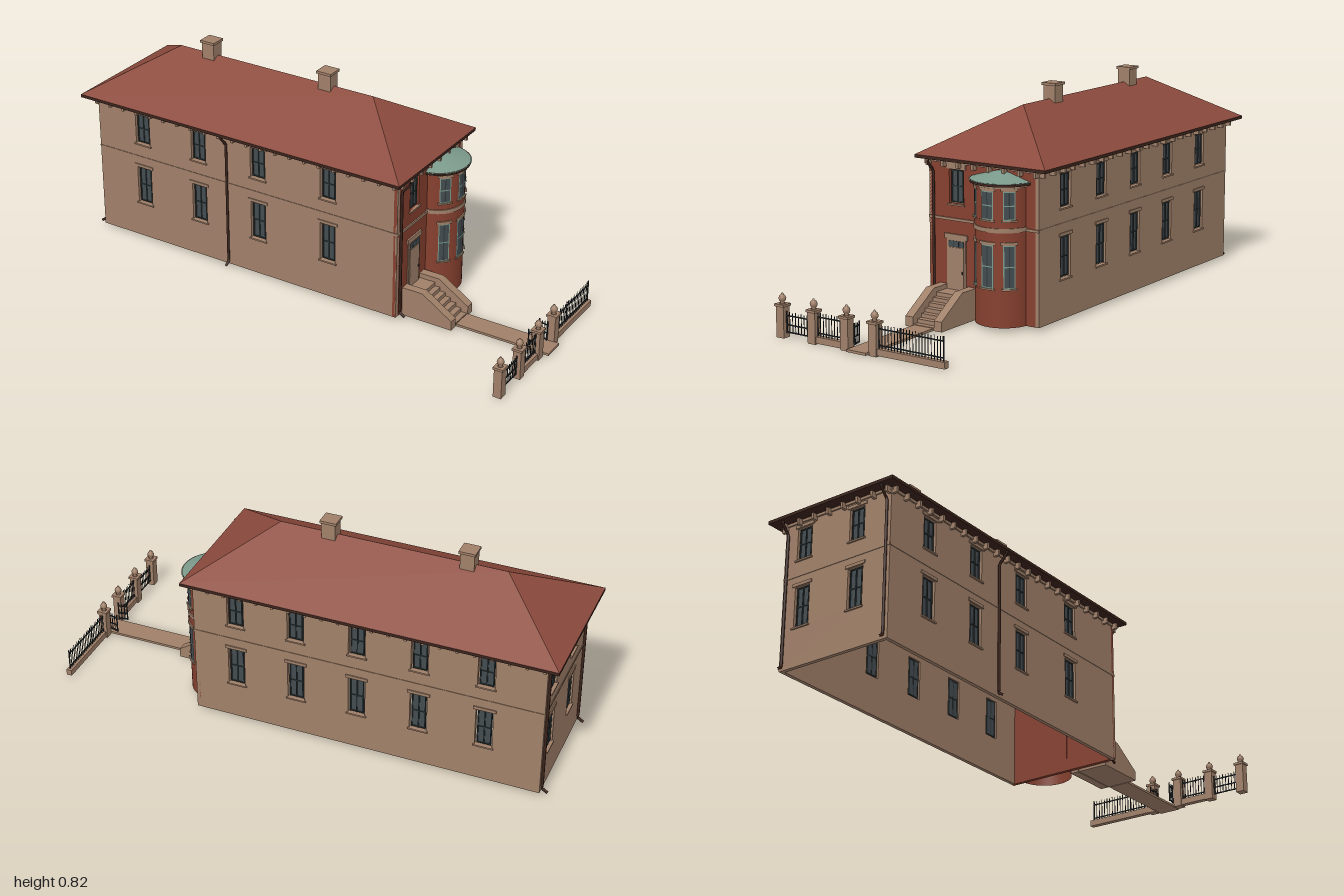
import * as THREE from 'three';

const mat = (name, color, side = THREE.FrontSide) => {
  const m = new THREE.MeshStandardMaterial({ color, side });
  m.name = name;
  return m;
};

export function createModel() {
  const model = new THREE.Group();
  model.name = 'townhouse';
  const brick = mat('brick', 0x86402f, THREE.DoubleSide);
  const roofRed = mat('roof tile', 0x8c4a3d);
  const stone = mat('sandstone', 0xa08069, THREE.DoubleSide);
  const trim = mat('dark gutter', 0x3c241c);
  const glass = mat('glass', 0x434c50, THREE.DoubleSide);
  const sash = mat('sash', 0x2f3839, THREE.DoubleSide);
  const copper = mat('weathered copper', 0x7b9a8b, THREE.DoubleSide);
  const iron = mat('iron', 0x23292c);

  const add = (parent, name, geo, m) => {
    const mesh = new THREE.Mesh(geo, m);
    mesh.name = name;
    parent.add(mesh);
    return mesh;
  };
  // box given by its two corners
  const box = (parent, name, m, x0, x1, y0, y1, z0, z1) => {
    const mesh = add(parent, name, new THREE.BoxGeometry(x1 - x0, y1 - y0, z1 - z0), m);
    mesh.position.set((x0 + x1) / 2, (y0 + y1) / 2, (z0 + z1) / 2);
    return mesh;
  };
  const X0 = -0.95, X1 = 0.41, Z0 = -0.34, Z1 = 0.14, BASE = 0.015, TOP = 0.58;

  // sash window set back in its opening, with lintel and sill
  const addWindow = (wall, u, y0, y1, w, lintelH) => {
    const g = new THREE.Group();
    g.name = 'window';
    g.position.x = u;
    wall.add(g);
    const h = w / 2 - 0.006, b = y0 + 0.005, t = y1 - 0.003, mid = (b + t) / 2;
    box(g, 'pane', glass, -h, h, b, t, -0.012, -0.009);
    for (const x of [-h, -0.002, h - 0.004]) box(g, 'sashUpright', sash, x, x + 0.004, b, t, -0.013, -0.005);
    for (const y of [b, mid - 0.002, t - 0.004]) box(g, 'sashRail', sash, -h, h, y, y + 0.004, -0.013, -0.006);
    box(g, 'sill', stone, -w / 2 - 0.006, w / 2 + 0.006, y0 - 0.006, y0, -0.005, 0.006);
    box(g, 'lintel', stone, -w / 2 - 0.01, w / 2 + 0.01, y1 + 0.002, y1 + 0.002 + lintelH, -0.005, 0.004);
  };

  // wall with cut openings: local x along the wall, z outwards
  const addWall = (name, m, half, pos, turn, wins) => {
    const g = new THREE.Group();
    g.name = name;
    g.position.set(...pos);
    g.rotation.y = turn;
    model.add(g);
    const rect = (P, a, b, c, d) => {
      const p = new P();
      p.moveTo(a, c); p.lineTo(b, c); p.lineTo(b, d); p.lineTo(a, d); p.closePath();
      return p;
    };
    const shape = rect(THREE.Shape, -half, half, BASE, TOP);
    for (const [u, y0, y1, w] of wins) shape.holes.push(rect(THREE.Path, u - w / 2, u + w / 2, y0, y1));
    const geo = new THREE.ExtrudeGeometry(shape, { depth: 0.015, bevelEnabled: false });
    geo.translate(0, 0, -0.015);
    add(g, name + 'Surface', geo, m);
    for (const [u, y0, y1, w, lh = 0.012] of wins) addWindow(g, u, y0, y1, w, lh);
    box(g, 'beltCourse', stone, -half, half, 0.36, 0.37, -0.005, m === brick ? 0.005 : 0.002);
    box(g, 'frieze', stone, -half, half, 0.57, TOP, -0.005, 0.006);
    const n = Math.round(half * 2 / 0.065);
    for (let i = 0; i <= n; i++) {
      const u = -half + 0.006 + i * (half * 2 - 0.012) / n;
      box(g, 'eaveBracket', stone, u - 0.005, u + 0.005, 0.557, TOP, 0, 0.022);
    }
    return g;
  };
  const rows = us => us.flatMap(u => [[u, 0.425, 0.55, 0.066], [u, 0.165, 0.32, 0.066]]);
  const cx = (X0 + X1) / 2, cz = (Z0 + Z1) / 2, hx = (X1 - X0) / 2, hz = (Z1 - Z0) / 2;
  addWall('frontWall', stone, hx, [cx, 0, Z1], 0, rows([-0.738, -0.473, -0.2, 0.112].map(x => x - cx)));
  addWall('backWall', stone, hx, [cx, 0, Z0], Math.PI, rows([0.24, 0, -0.24, -0.48, -0.73].map(x => cx - x)));
  addWall('leftEndWall', stone, hz, [X0, 0, cz], -Math.PI / 2, rows([-0.25, -0.01].map(z => z - cz)));
  const entry = addWall('entranceWall', brick, hz, [X1, 0, cz], Math.PI / 2, [[cz - 0.018, 0.422, 0.548, 0.064, 0.02]]);

  // entrance door
  const door = new THREE.Group();
  door.name = 'door';
  door.position.x = cz - 0.018;
  entry.add(door);
  box(door, 'doorFrame', stone, -0.042, 0.042, 0.105, 0.293, -0.005, 0.004);
  box(door, 'doorLeaf', stone, -0.034, 0.034, 0.105, 0.262, 0, 0.007);
  box(door, 'transomPane', glass, -0.034, 0.034, 0.264, 0.286, 0, 0.006);
  for (const x of [-0.012, 0.011]) box(door, 'transomBar', sash, x, x + 0.002, 0.264, 0.286, 0, 0.007);
  box(door, 'doorHandle', iron, 0.027, 0.031, 0.165, 0.175, 0.006, 0.011);
  box(door, 'doorLintel', stone, -0.05, 0.05, 0.292, 0.311, -0.004, 0.007);

  // hipped roof, gutter and chimneys
  const E = { a: -1, b: 0.44, c: -0.384, d: 0.184, y: 0.592 };
  const A = [E.a, E.y, E.d], B = [E.b, E.y, E.d], C = [E.b, E.y, E.c], D = [E.a, E.y, E.c];
  const L = [-0.715, 0.763, -0.1], R = [0.157, 0.763, -0.1];
  const tris = [A, B, R, A, R, L, B, C, R, C, D, L, C, L, R, D, A, L];
  const roofGeo = new THREE.BufferGeometry();
  roofGeo.setAttribute('position', new THREE.Float32BufferAttribute(tris.flat(), 3));
  roofGeo.computeVertexNormals();
  add(model, 'hippedRoof', roofGeo, roofRed);
  box(model, 'eaves', trim, E.a, E.b, 0.58, E.y, E.c, E.d);
  for (const x of [-0.57, -0.04]) {
    box(model, 'chimney', stone, x - 0.027, x + 0.027, 0.7, 0.814, -0.126, -0.074);
    box(model, 'chimneyCap', stone, x - 0.032, x + 0.032, 0.812, 0.822, -0.131, -0.069);
  }

  // downpipes: from gutter back to the wall, down, with a kicked foot
  const downpipe = (x, z, dx, dz) => {
    const p = (o, y) => new THREE.Vector3(x + dx * o, y, z + dz * o);
    const path = new THREE.CurvePath();
    const pts = [p(0.038, 0.582), p(0.036, 0.57), p(0.005, 0.535), p(0.005, 0.028), p(0.026, 0.014)];
    for (let i = 0; i < 4; i++) path.add(new THREE.LineCurve3(pts[i], pts[i + 1]));
    add(model, 'downpipe', new THREE.TubeGeometry(path, 48, 0.0055, 6), trim);
  };
  downpipe(-0.34, Z1, 0, 1);
  downpipe(X1, 0.118, 1, 0);
  downpipe(X0, 0.125, -1, 0);
  downpipe(X0, -0.325, -1, 0);

  // rounded bay
  const bay = new THREE.Group();
  bay.name = 'bay';
  bay.position.set(0.393, 0, -0.18);
  model.add(bay);
  const RB = 0.106;
  const arc = (name, m, r, y0, y1, mid = Math.PI / 2, half = Math.PI / 2) => {
    const seg = Math.max(2, Math.ceil(half * 14));
    add(bay, name, new THREE.CylinderGeometry(r, r, y1 - y0, seg, 1, true, mid - half, half * 2), m).position.y = (y0 + y1) / 2;
  };
  // raised curved band with closed top and bottom
  const band = (name, m, r, y0, y1, mid = Math.PI / 2, half = Math.PI / 2) => {
    const pts = [[RB - 0.003, y0], [r, y0], [r, y1], [RB - 0.003, y1]].map(q => new THREE.Vector2(...q));
    const geo = new THREE.LatheGeometry(pts, Math.max(3, Math.ceil(half * 14)), mid - half, half * 2).toNonIndexed();
    geo.computeVertexNormals();
    add(bay, name, geo, m);
  };
  arc('bayWall', brick, RB, BASE, 0.535);
  band('bayBelt', stone, RB + 0.004, 0.36, 0.376);
  band('bayCornice', stone, RB + 0.004, 0.519, 0.53);
  band('bayEave', trim, 0.124, 0.527, 0.538);
  add(bay, 'bayRoof', new THREE.ConeGeometry(0.127, 0.037, 32, 1, true, 0, Math.PI), copper).position.y = 0.555;
  for (const k of [-1, 0, 1]) {
    const mid = Math.PI / 2 + k * 0.77, half = k ? 0.2 : 0.23;
    for (const [y0, y1] of [[0.405, 0.508], [0.158, 0.315]]) {
      arc('bayPane', glass, RB + 0.001, y0, y1, mid, half);
      const cy = (y0 + y1) / 2;
      for (const a of [-half, half]) arc('baySashUpright', copper, RB + 0.003, y0, y1, mid + a * 0.93, 0.017);
      arc('bayMullion', sash, RB + 0.002, y0, y1, mid, 0.02);
      for (const y of [y0, cy - 0.002, y1 - 0.004]) arc('baySashRail', copper, RB + 0.0025, y, y + 0.004, mid, half);
      band('baySill', stone, RB + 0.007, y0 - 0.006, y0, mid, half + 0.06);
      band('bayLintel', stone, RB + 0.005, y1, y1 + 0.011, mid, half + 0.08);
    }
  }

  // entrance steps between sloping cheek walls
  box(model, 'landing', stone, X1, 0.48, 0.005, 0.105, -0.03, 0.062);
  for (let i = 0; i < 6; i++)
    box(model, 'step', stone, 0.47, 0.502 + i * 0.023, 0.005, 0.09 - i * 0.015, -0.03, 0.062);
  const cheek = new THREE.Shape([[X1, 0.005], [0.62, 0.005], [0.62, 0.042], [0.495, 0.122], [X1, 0.122]]
    .map(q => new THREE.Vector2(...q)));
  for (const z of [-0.067, 0.06])
    add(model, 'stepCheek', new THREE.ExtrudeGeometry(cheek, { depth: 0.034, bevelEnabled: false }), stone).position.z = z;
  box(model, 'path', stone, 0.62, 1, 0.005, 0.014, -0.03, 0.056);

  // street boundary: plinth, pillars with finials, railings and gates
  const FX = 0.965;
  box(model, 'fencePlinth', stone, FX - 0.011, FX + 0.011, 0.004, 0.028, -0.345, -0.05);
  box(model, 'fencePlinth', stone, FX - 0.011, FX + 0.011, 0.004, 0.028, 0.085, 0.22);
  const urn = [[0, 0], [0.011, 0], [0.006, 0.006], [0.012, 0.013], [0.014, 0.021], [0.01, 0.03], [0.004, 0.034], [0.004, 0.038], [0, 0.04]]
    .map(q => new THREE.Vector2(...q));
  for (const z of [0.369, 0.226, 0.08, -0.043]) {
    box(model, 'pillar', stone, FX - 0.016, FX + 0.016, 0, 0.115, z - 0.017, z + 0.017);
    box(model, 'pillarCap', stone, FX - 0.02, FX + 0.02, 0.113, 0.122, z - 0.021, z + 0.021);
    add(model, 'finial', new THREE.LatheGeometry(urn, 12), stone).position.set(FX, 0.121, z);
  }
  // railing panel running along local x from 0 to len
  const railing = (name, x, z, turn, len, y0, railY, y1) => {
    const g = new THREE.Group();
    g.name = name;
    g.position.set(x, 0, z);
    g.rotation.y = turn;
    model.add(g);
    for (const y of railY) box(g, 'rail', iron, 0, len, y, y + 0.004, -0.002, 0.002);
    const n = Math.max(2, Math.round(len / 0.0125));
    for (let i = 0; i <= n; i++) {
      const u = i * len / n, end = i === 0 || i === n, w = end ? 0.002 : 0.0011;
      box(g, 'bar', iron, u - w, u + w, y0, y1 + (end ? 0.004 : i % 2 * 0.003), -w, w);
    }
  };
  const along = Math.PI / 2;
  railing('longFence', FX, -0.06, along, 0.093, 0.028, [0.037, 0.095], 0.11);
  railing('longFence', FX, -0.153, along, 0.18, 0.028, [0.037, 0.095], 0.11);
  railing('shortFence', FX, 0.209, along, 0.112, 0.028, [0.037, 0.095], 0.11);
  railing('sideGate', FX, 0.35, along, 0.105, 0.018, [0.019, 0.046, 0.079], 0.092);
  for (const z of [0.055, -0.018])
    railing('openGate', 0.955, z, Math.PI + Math.sign(z) * 0.2, 0.036, 0.018, [0.02, 0.046, 0.08], 0.092);

  return model;
}
